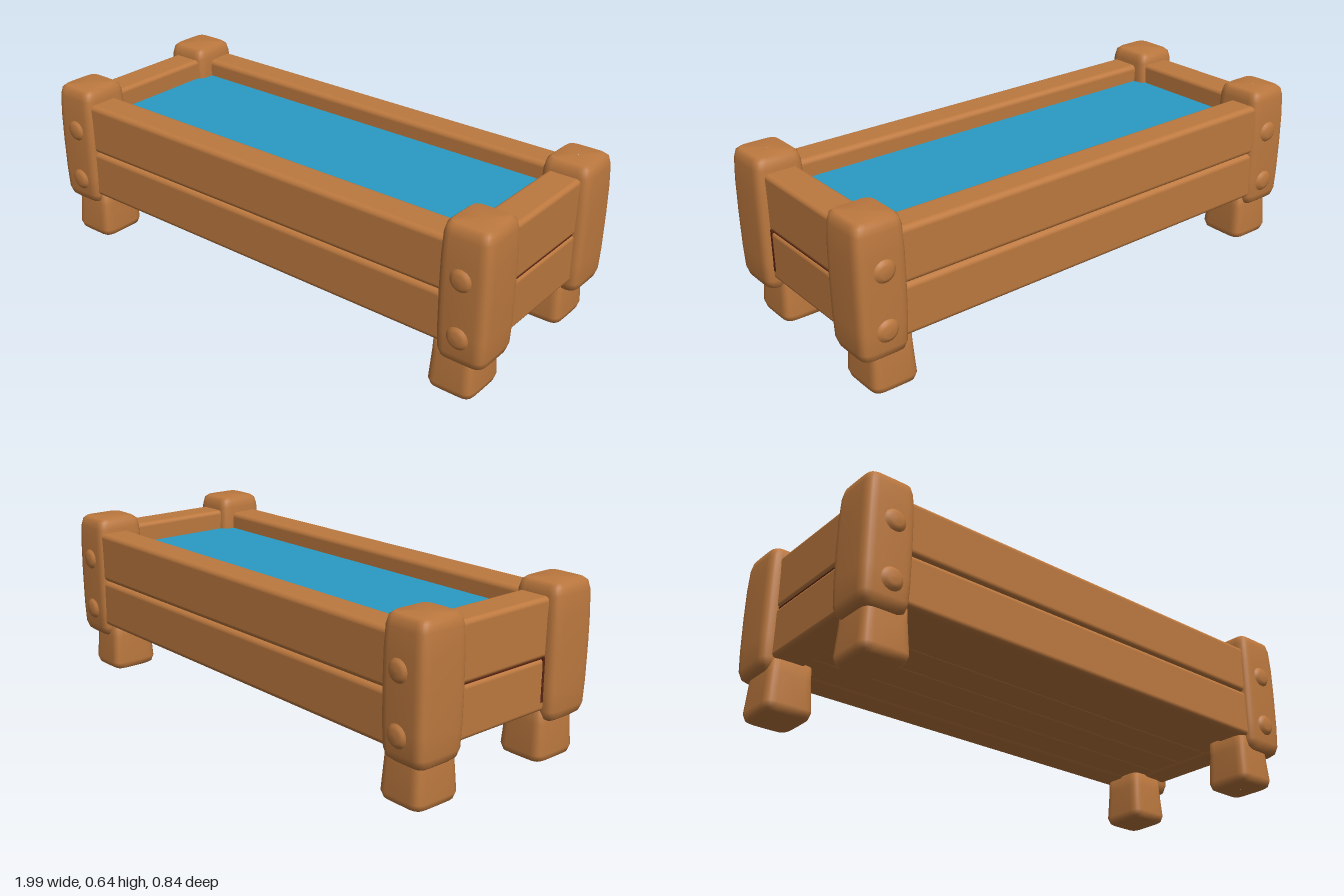
import * as THREE from 'three';
import { RoundedBoxGeometry } from 'three/addons/geometries/RoundedBoxGeometry.js';

function material(name, color) {
  const m = new THREE.MeshStandardMaterial({ color });
  m.name = name;
  return m;
}
const wood = material('wood', 0xbd793f);
const darkWood = material('darkWood', 0x5a2412);
const water = material('water', 0x2a9bc4);

function addMesh(parent, name, geometry, mat, x, y, z) {
  const mesh = new THREE.Mesh(geometry, mat);
  mesh.name = name;
  mesh.position.set(x, y, z);
  parent.add(mesh);
  return mesh;
}

// Soft-edged board between two corners
function board(parent, name, [x0, y0, z0], [x1, y1, z1], radius) {
  const geo = new RoundedBoxGeometry(x1 - x0, y1 - y0, z1 - z0, 4, radius);
  addMesh(parent, name, geo, wood, (x0 + x1) / 2, (y0 + y1) / 2, (z0 + z1) / 2);
}

// Stacks rounded-square rings of [height, scale] into a smooth carved block
function carved(halfX, halfZ, rings) {
  const sides = 32, positions = [], index = [];
  const soften = v => Math.sign(v) * Math.abs(v) ** 0.33;
  rings.forEach(([y, s], r) => {
    for (let i = 0; i < sides; i++) {
      const a = (i / sides) * Math.PI * 2;
      positions.push(halfX * s * soften(Math.cos(a)), y, halfZ * s * soften(Math.sin(a)));
      if (r === 0) continue;
      const j = (i + 1) % sides, lo = (r - 1) * sides, hi = r * sides;
      index.push(lo + i, hi + i, lo + j, hi + i, hi + j, lo + j);
    }
  });
  const geo = new THREE.BufferGeometry();
  geo.setAttribute('position', new THREE.Float32BufferAttribute(positions, 3));
  geo.setIndex(index);
  geo.computeVertexNormals();
  return geo;
}

const footRings = [[0, 0.01], [0, 0.8], [0.007, 0.92], [0.03, 1], [0.14, 0.92], [0.23, 0.88], [0.23, 0.01]];

// Low mound that melts into the post
const pegGeometry = new THREE.LatheGeometry(
  [[0.052, -0.003], [0.043, 0.003], [0.034, 0.013], [0.022, 0.018], [0, 0.019]]
    .map(([r, y]) => new THREE.Vector2(r, y)), 20);

export function createModel() {
  const group = new THREE.Group();
  group.name = 'waterTrough';

  // Corner posts with splayed feet and two pegs each
  for (const sx of [-1, 1]) {
    for (const sz of [-1, 1]) {
      const corner = new THREE.Group();
      corner.name = (sz > 0 ? 'front' : 'back') + (sx > 0 ? 'Left' : 'Right') + 'Corner';
      const top = sx > 0 && sz > 0 ? 0.64 : 0.63;
      const bottom = sx > 0 ? 0.14 : 0.15;
      const postRings = [
        [bottom, 0.01], [bottom, 0.72], [bottom + 0.012, 0.87], [bottom + 0.04, 0.96],
        [bottom + 0.12, 0.99], [0.4, 1], [top - 0.12, 0.99], [top - 0.04, 0.95],
        [top - 0.011, 0.88], [top, 0.75], [top, 0.01],
      ];
      addMesh(corner, 'post', carved(0.095, 0.102, postRings), wood, sx > 0 ? 0.897 : -0.905, 0, sz * 0.307);

      const footX = sx > 0 ? 0.854 : -0.88;
      addMesh(corner, 'foot', carved(sx > 0 ? 0.088 : 0.092, 0.097, footRings), wood, footX, 0, sz * 0.289);

      for (const y of [0.25, 0.46]) {
        const peg = addMesh(corner, 'peg', pegGeometry, wood, sx * 0.895, y, sz * 0.402);
        peg.rotation.x = sz * Math.PI / 2;
      }
      group.add(corner);
    }
  }

  // Two stacked planks on every side
  for (const [name, y0, y1, endTop] of [['lower', 0.19, 0.379, 0.379], ['upper', 0.379, 0.577, 0.588]]) {
    board(group, name + 'FrontPlank', [-0.86, y0, 0.257], [0.86, y1, 0.387], 0.02);
    board(group, name + 'BackPlank', [-0.86, y0, -0.396], [0.86, y1, -0.273], 0.02);
    for (const s of [-1, 1]) {
      const x = s * 0.897;
      board(group, name + 'EndPlank', [x - 0.064, y0, -0.26], [x + 0.064, endTop, 0.26], 0.017);
    }
  }

  // Dark joints at the ends: a seam between planks and a gap beside the front post
  for (const s of [-1, 1]) {
    addMesh(group, 'plankSeam', new THREE.BoxGeometry(0.008, 0.004, 0.42), darkWood, s * 0.952, 0.379, 0);
    addMesh(group, 'postGap', new THREE.BoxGeometry(0.008, 0.16, 0.012), darkWood, s * 0.9585, 0.305, 0.203);
  }

  // Floor boards
  const boards = 4, width = 0.56 / boards;
  for (let i = 0; i < boards; i++) {
    const z = -0.29 + i * width;
    board(group, 'floorBoard', [-0.86, 0.197, z], [0.86, 0.25, z + width], 0.006);
  }

  // Water surface
  addMesh(group, 'waterSurface', new THREE.BoxGeometry(1.69, 0.02, 0.56), water, 0, 0.5, -0.008);

  return group;
}
